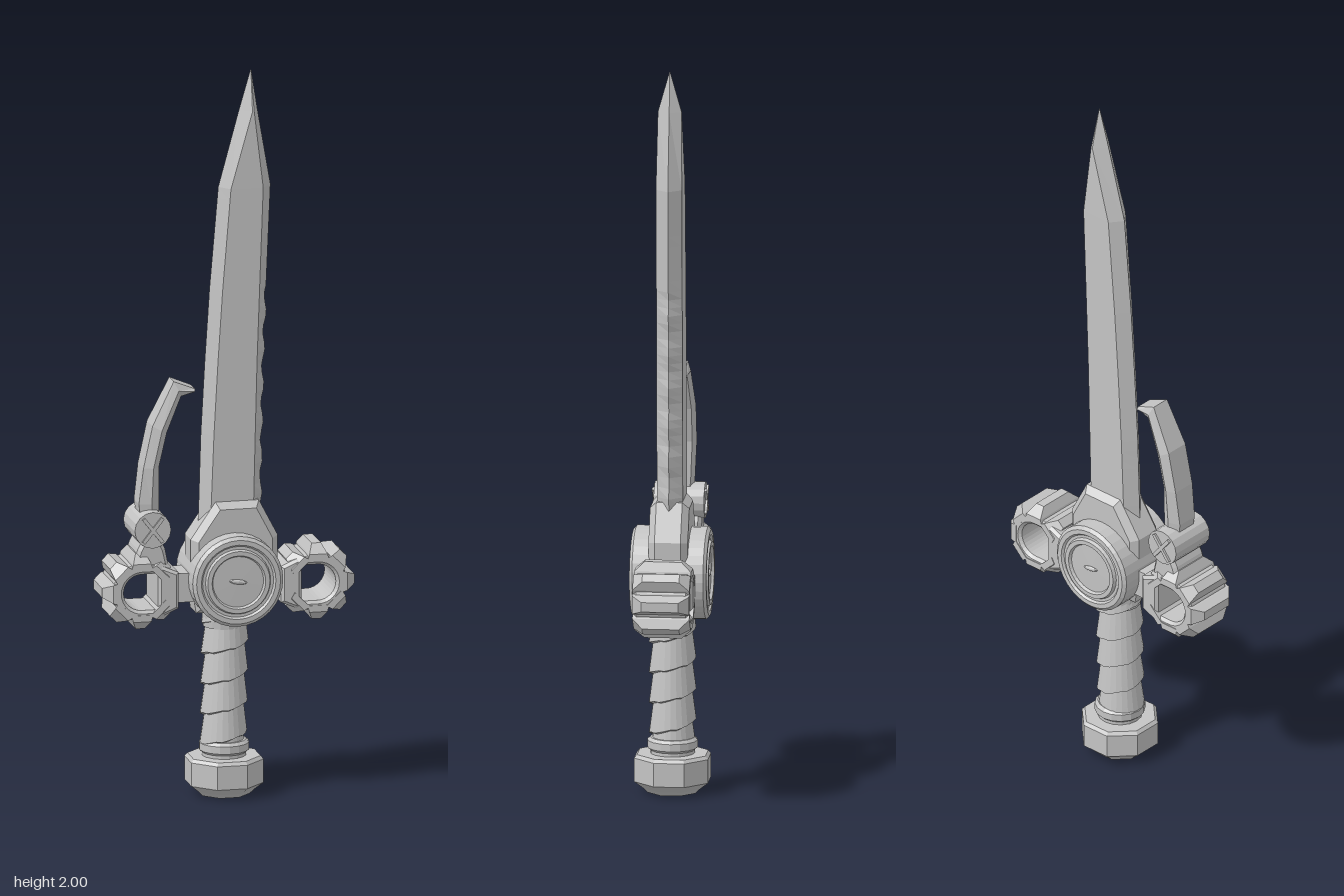
import * as THREE from 'three';

const steel = new THREE.MeshStandardMaterial({ color: 0xc4c4c4, flatShading: true });
steel.name = 'steel grey';

function add(parent, name, geometry, x = 0, y = 0, z = 0) {
  const mesh = new THREE.Mesh(geometry, steel);
  mesh.name = name;
  mesh.position.set(x, y, z);
  parent.add(mesh);
  return mesh;
}

const outline = (points) => new THREE.Shape(points.map(([x, y]) => new THREE.Vector2(x, y)));

// Extruded plate centred on z with chamfered rims, keeping its outline size
function plate(shape, depth, bevel) {
  const g = new THREE.ExtrudeGeometry(shape, {
    depth: depth - 2 * bevel, curveSegments: 8, bevelEnabled: true, bevelThickness: bevel,
    bevelSize: bevel, bevelOffset: -bevel, bevelSegments: 1,
  });
  return g.translate(0, 0, -(depth - 2 * bevel) / 2);
}

// Closed skin over rings of points running anticlockwise seen from above, capped with fans
function loft(rings) {
  const n = rings[0].length, pos = rings.flat(2), index = [];
  for (let i = 0; i < rings.length - 1; i++) {
    for (let j = 0; j < n; j++) {
      const a = i * n + j, b = i * n + (j + 1) % n;
      index.push(a, b, a + n, b, b + n, a + n);
    }
  }
  const top = (rings.length - 1) * n;
  for (let j = 1; j < n - 1; j++) index.push(0, j + 1, j, top, top + j, top + j + 1);
  const g = new THREE.BufferGeometry();
  g.setAttribute('position', new THREE.Float32BufferAttribute(pos, 3));
  g.setIndex(index);
  const flat = g.toNonIndexed();
  flat.computeVertexNormals();
  return flat;
}

function bladeGeometry() {
  // y, left edge, left ridge, right ridge, right edge, half thickness
  const rows = [
    [0.74, -0.072, -0.046, 0.072, 0.1, 0.035],
    [1.0, -0.064, -0.036, 0.078, 0.104, 0.035],
    [1.2, -0.053, -0.025, 0.083, 0.108, 0.035],
    [1.4, -0.04, -0.012, 0.09, 0.116, 0.035],
    [1.68, -0.016, 0.011, 0.1, 0.128, 0.035],
    [1.89, 0.041, 0.071, 0.076, 0.092, 0.032],
    [2.0, 0.073, 0.074, 0.074, 0.075, 0.001],
  ];
  const rings = [];
  for (let i = 0; i < rows.length - 1; i++) {
    const steps = i < 4 ? 9 : 1;
    for (let s = 0; s < steps; s++) rings.push(rows[i].map((v, k) => v + (rows[i + 1][k] - v) * s / steps));
  }
  rings.push(rows[rows.length - 1]);
  return loft(rings.map(([y, L, l, r, R, t]) => {
    // scalloped cutting edge on the lower part
    const wave = y < 1.4 ? 0.004 * Math.sin(y * Math.PI * 2 / 0.1) : 0;
    return [[L, y, 0], [l, y, t], [r, y, t], [R + wave, y, 0], [r, y, -t], [l, y, -t]];
  }));
}

// Grip wound with a helical strap whose lower lip stands proud
function gripGeometry() {
  const pitch = 0.084, g = new THREE.CylinderGeometry(1, 1, 0.37, 24, 80, true);
  const p = g.attributes.position;
  for (let i = 0; i < p.count; i++) {
    const x = p.getX(i), z = p.getZ(i), y = p.getY(i);
    const turn = y / pitch - Math.atan2(x, z) / (Math.PI * 2) + 10;
    const r = 0.064 - 0.011 * (turn - Math.floor(turn));
    p.setXYZ(i, x * r, y, z * r);
  }
  g.computeVertexNormals();
  return g;
}

// Cog with a squared inner side, open in the middle
function cogGuard(name) {
  const cx = 0.243, cy = 0.585;
  const group = new THREE.Group();
  group.name = name;
  const body = new THREE.Shape();
  body.moveTo(-0.102, -0.05);
  body.lineTo(-0.06, -0.068);
  body.lineTo(0, -0.08);
  body.absarc(0, 0, 0.08, -Math.PI / 2, Math.PI / 2, false);
  body.lineTo(-0.06, 0.068);
  body.lineTo(-0.102, 0.05);
  const hole = new THREE.Path();
  hole.moveTo(-0.045, -0.05);
  hole.lineTo(-0.045, 0.05);
  hole.lineTo(0, 0.05);
  hole.absarc(0, 0, 0.05, Math.PI / 2, -Math.PI / 2, true);
  hole.lineTo(-0.045, -0.05);
  body.holes.push(hole);
  add(group, 'cogFrame', plate(body, 0.15, 0.008), cx, cy);

  // wedge teeth, narrower and chamfered towards the tip
  const ring = (r, w, t) => [[w, r, t], [w, r, -t], [-w, r, -t], [-w, r, t]];
  const tooth = loft([ring(0.062, 0.03, 0.077), ring(0.08, 0.025, 0.077), ring(0.105, 0.013, 0.05)]);
  for (let i = -3; i <= 3; i++) {
    add(group, 'cogTooth', tooth, cx, cy).rotation.z = i * Math.PI / 4 - Math.PI / 2;
  }
  add(group, 'guardArm', new THREE.BoxGeometry(0.08, 0.08, 0.09), 0.12, cy);
  return group;
}

export function createModel() {
  const model = new THREE.Group();
  model.name = 'sword';

  add(model, 'blade', bladeGeometry());

  // Collar that holds the blade
  add(model, 'bladeCollar', plate(outline([[-0.085, 0.51], [0.1, 0.51], [0.14, 0.6], [0.14, 0.715],
    [0.088, 0.815], [-0.032, 0.815], [-0.1, 0.715], [-0.1, 0.6]]), 0.106, 0.018));

  // Round hub with a stepped face on both sides
  const profile = [[0, -0.1], [0.07, -0.099], [0.074, -0.107], [0.086, -0.107], [0.09, -0.098], [0.098, -0.098],
    [0.103, -0.104], [0.116, -0.104], [0.125, -0.096]];
  const full = [...profile, ...profile.map(([r, y]) => [r, -y]).reverse()];
  const hub = new THREE.LatheGeometry(full.map(([r, y]) => new THREE.Vector2(r, y)), 32);
  add(model, 'hub', hub.rotateX(Math.PI / 2), 0.016, 0.607);
  for (const s of [-1, 1]) {
    const mark = add(model, 'hubBoss', new THREE.SphereGeometry(1, 8, 6), 0.016, 0.607, s * 0.099);
    mark.scale.set(0.026, 0.007, 0.007);
    mark.rotation.z = -0.15;
  }

  // Cog guards on both sides
  model.add(cogGuard('leftGuard'));
  const right = cogGuard('rightGuard');
  right.rotation.y = Math.PI;
  model.add(right);

  // Hammer lever with its pivot and mount
  add(model, 'leverMount', plate(outline([[-0.265, 0.65], [-0.165, 0.65], [-0.175, 0.7], [-0.19, 0.73],
    [-0.235, 0.73], [-0.25, 0.7]]), 0.12, 0.01));
  add(model, 'leverPivot', new THREE.CylinderGeometry(0.05, 0.05, 0.136, 16).rotateX(Math.PI / 2), -0.212, 0.755);
  for (const s of [-1, 1]) {
    for (const a of [-0.9, 0.9]) {
      const bar = add(model, 'pivotSlot', new THREE.BoxGeometry(0.085, 0.01, 0.008), -0.212, 0.755, s * 0.07);
      bar.rotation.z = a;
    }
  }
  // outer x, outer y, inner x, inner y, half width
  const lever = [[-0.235, 0.77, -0.185, 0.77, 0.035], [-0.242, 0.82, -0.186, 0.82, 0.04],
    [-0.23, 0.92, -0.188, 0.92, 0.045], [-0.205, 1.035, -0.166, 1.015, 0.045],
    [-0.145, 1.154, -0.125, 1.112, 0.036], [-0.086, 1.13, -0.088, 1.12, 0.03]];
  add(model, 'lever', loft(lever.map(([ox, oy, ix, iy, w]) => {
    const mx = ox * 0.4 + ix * 0.6, my = oy * 0.4 + iy * 0.6;
    return [[ox, oy, -w * 0.75], [ox, oy, w * 0.75], [mx, my, w], [ix, iy, w * 0.75], [ix, iy, -w * 0.75], [mx, my, -w]];
  })));

  // Grip, lower rings and eight-sided pommel
  const grip = add(model, 'grip', gripGeometry(), 0, 0.325);
  grip.rotation.z = -0.015;
  add(model, 'gripNeck', new THREE.CylinderGeometry(0.062, 0.058, 0.05, 16), 0, 0.49);
  const turned = (points, sides, turn) => new THREE.LatheGeometry(
    points.map(([r, y]) => new THREE.Vector2(r, y)), sides, turn);
  add(model, 'gripRing', turned([[0.06, 0.1], [0.06, 0.115], [0.068, 0.122], [0.068, 0.142], [0.06, 0.15], [0, 0.15]], 16, 0));
  add(model, 'pommel', turned([[0, 0], [0.07, 0], [0.082, 0.012], [0.108, 0.032], [0.108, 0.097], [0.1, 0.106], [0, 0.106]],
    8, Math.PI / 8));

  return model;
}
